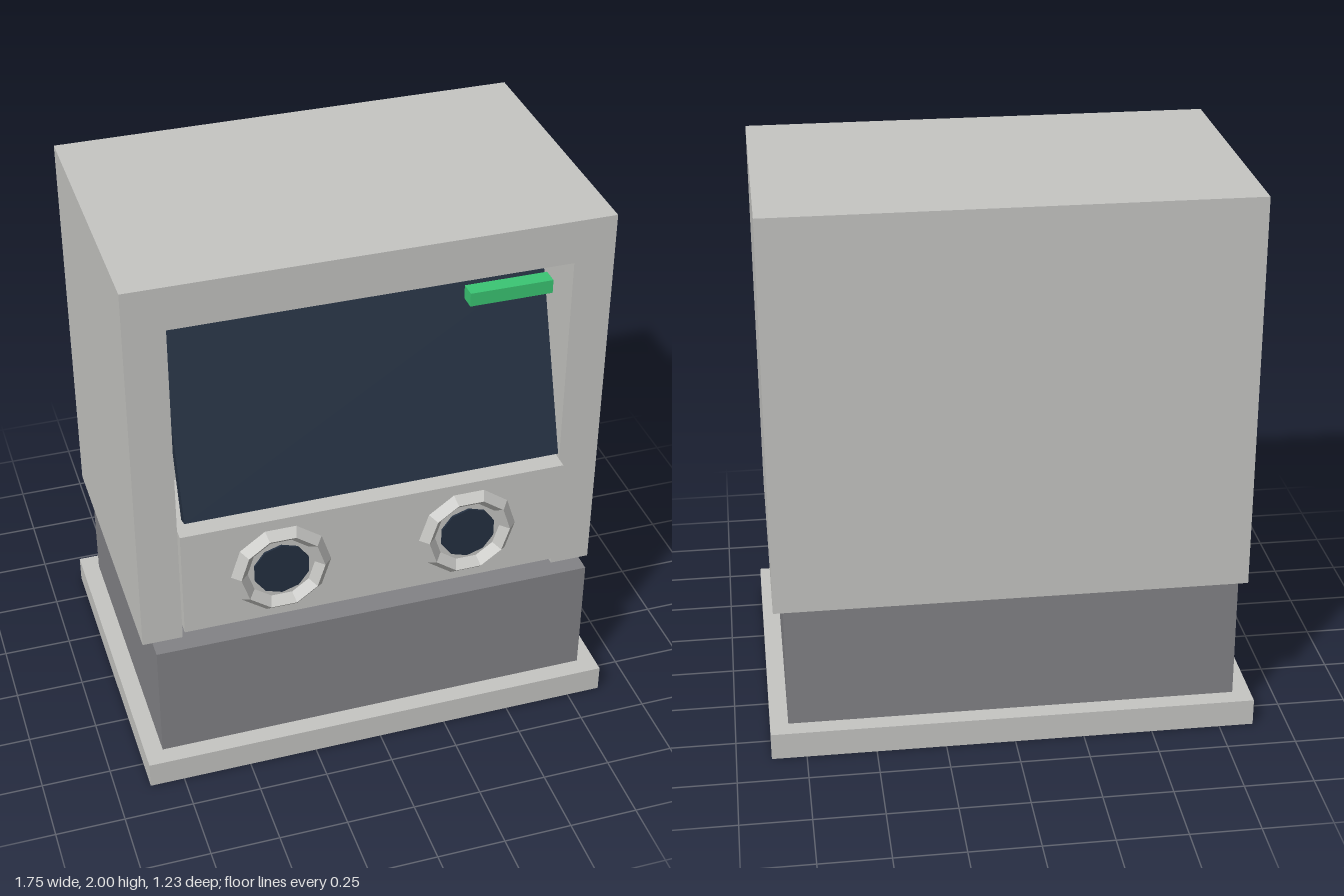
import * as THREE from 'three';

const mat = (name, color) => {
  const m = new THREE.MeshStandardMaterial({ color, flatShading: true });
  m.name = name;
  return m;
};

export function createModel() {
  const shell = mat('light grey shell', 0xc5c5c2);
  const plinthGrey = mat('dark grey plinth', 0x828286);
  const glass = mat('dark blue glass', 0x243041);
  const green = mat('green indicator', 0x3ac573);

  const model = new THREE.Group();
  const add = (name, geometry, material, x = 0, y = 0, z = 0) => {
    const mesh = new THREE.Mesh(geometry, material);
    mesh.name = name;
    mesh.position.set(x, y, z);
    model.add(mesh);
    return mesh;
  };
  // Box given by its limits on each axis
  const box = (name, material, x0, x1, y0, y1, z0, z1) =>
    add(name, new THREE.BoxGeometry(x1 - x0, y1 - y0, z1 - z0), material,
      (x0 + x1) / 2, (y0 + y1) / 2, (z0 + z1) / 2);

  // Foot and plinth
  box('foot', shell, -0.875, 0.875, 0, 0.1, -0.617, 0.617);
  box('plinth', plinthGrey, -0.81, 0.81, 0.1, 0.555, -0.55, 0.55);

  // Cabinet: solid rear with an arch-shaped frame around the front opening
  const back = -0.555, recess = 0.2, front = 0.485;
  box('cabinetRear', shell, -0.845, 0.845, 0.555, 2, back, recess);
  const arch = new THREE.Shape([
    [-0.845, 0.555], [-0.7, 0.555], [-0.7, 1.84], [0.7, 1.84],
    [0.7, 0.555], [0.845, 0.555], [0.845, 2], [-0.845, 2],
  ].map(([x, y]) => new THREE.Vector2(x, y)));
  add('cabinetFrame', new THREE.ExtrudeGeometry(arch, { depth: front - recess, bevelEnabled: false }),
    shell, 0, 0, recess);
  box('upperLip', shell, -0.62, 0.615, 1.795, 1.84, recess, 0.3);

  // Control panel and its set-back lower edge
  box('controlPanel', shell, -0.7, 0.7, 0.61, 1.03, recess, 0.525);
  box('panelUnderside', shell, -0.68, 0.68, 0.59, 0.61, recess, 0.47);

  // Leaning screen, pivoting on its lower front edge
  const height = 0.705, thick = 0.05;
  const screenGeometry = new THREE.BoxGeometry(1.36, height, thick);
  screenGeometry.translate(0, height / 2, -thick / 2);
  add('screen', screenGeometry, glass, 0, 1.08, 0.517).rotation.x = -THREE.MathUtils.degToRad(20);

  box('indicator', green, 0.335, 0.63, 1.735, 1.785, 0.425, 0.482);

  // Two faceted ports with dark centres
  for (const x of [-0.345, 0.345]) {
    add('portRing', new THREE.TorusGeometry(0.152, 0.03, 4, 10), shell, x, 0.815, 0.525);
    const lens = new THREE.CylinderGeometry(0.103, 0.103, 0.009, 10);
    lens.rotateX(Math.PI / 2);
    add('portLens', lens, glass, x, 0.815, 0.528);
  }
  return model;
}
